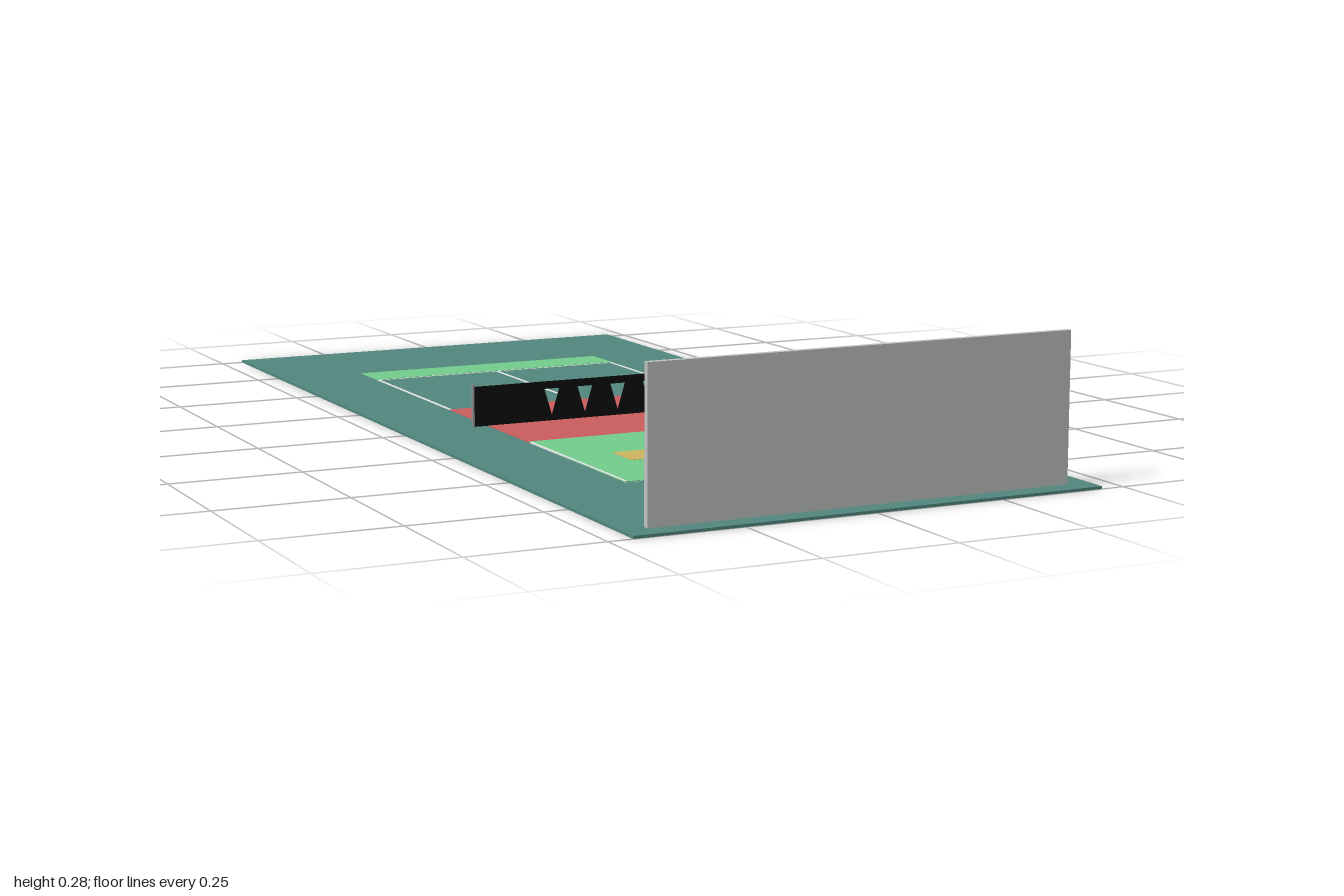
import * as THREE from 'three';

const mat = (name, color) => {
  const m = new THREE.MeshStandardMaterial({ color });
  m.name = name;
  return m;
};

export function createModel() {
  const court = mat('court teal', 0x52877f);
  const red = mat('red zone', 0xcb5d5d);
  const green = mat('green zone', 0x73cd8d);
  const yellow = mat('target yellow', 0xcbb660);
  const white = mat('line white', 0xe6e8e6);
  const grey = mat('wall grey', 0xbfc3c1);
  const dark = mat('board dark', 0x435a56);
  const steel = mat('post steel', 0x8c9498);
  const black = mat('net black', 0x0c0c0c);
  black.side = THREE.DoubleSide;

  const model = new THREE.Group();
  model.name = 'practiceCourt';

  const box = (parent, name, m, w, h, d, x, y, z) => {
    const mesh = new THREE.Mesh(new THREE.BoxGeometry(w, h, d), m);
    mesh.name = name;
    mesh.position.set(x, y, z);
    parent.add(mesh);
    return mesh;
  };

  // Ground slab
  const top = 0.005;
  box(model, 'ground', court, 0.91, top, 2, 0, top / 2, 0);

  // Flat paint, given by its extents and its layer above the ground
  const paint = (name, m, x0, x1, z0, z1, layer) => {
    const h = 0.0006 * layer;
    box(model, name, m, x1 - x0, h, z1 - z0, (x0 + x1) / 2, top + h / 2, (z0 + z1) / 2);
  };
  paint('kitchenZone', red, -0.28, 0.28, -0.2, 0.2, 2);
  paint('serviceZone', green, -0.28, 0, 0.19, 0.61, 3);
  paint('backZone', green, -0.28, 0.28, -0.705, -0.61, 2);
  paint('floorTarget', yellow, -0.185, -0.1, 0.36, 0.44, 4);

  // Court lines
  const lw = 0.007;
  for (const s of [-1, 1]) {
    const x = s * 0.2765;
    paint('sideLineNear', white, x - lw / 2, x + lw / 2, 0.2, 0.61, 1);
    paint('sideLineFar', white, x - lw / 2, x + lw / 2, -0.61, -0.2, 1);
    paint('baseLine', white, -0.28, 0.28, s * 0.608 - 0.003, s * 0.608 + 0.003, 1);
    paint('centreLine', white, -lw / 2, lw / 2, Math.min(s * 0.2, s * 0.61), Math.max(s * 0.2, s * 0.61), 1);
  }
  paint('serviceEdge', white, -0.28, -0.275, 0.2, 0.61, 4);

  // Net with tapered openings in its middle
  const net = new THREE.Group();
  net.name = 'net';
  const sheet = new THREE.Shape();
  sheet.moveTo(-0.31, 0.006).lineTo(0.31, 0.006).lineTo(0.31, 0.085).lineTo(-0.31, 0.085).closePath();
  for (let i = -2; i <= 2; i++) {
    const x = i * 0.072;
    const hole = new THREE.Path();
    hole.moveTo(x - 0.016, 0.07).lineTo(x + 0.016, 0.07).lineTo(x, 0.018).closePath();
    sheet.holes.push(hole);
  }
  const netMesh = new THREE.Mesh(new THREE.ShapeGeometry(sheet), black);
  netMesh.name = 'netSheet';
  net.add(netMesh);
  for (const s of [-1, 1]) {
    const post = new THREE.Mesh(new THREE.CylinderGeometry(0.003, 0.003, 0.085, 10), steel);
    post.name = 'netPost';
    post.position.set(s * 0.312, 0.0475, 0);
    net.add(post);
  }
  model.add(net);

  // Rebound wall with targets and sign on its court side
  const wall = new THREE.Group();
  wall.name = 'reboundWall';
  box(wall, 'wallPanel', grey, 0.82, 0.273, 0.012, 0, 0.1415, 0.954);
  for (const x of [-0.18, 0, 0.18]) {
    box(wall, 'wallTarget', yellow, 0.05, 0.055, 0.003, x, 0.138, 0.9468);
  }
  box(wall, 'wallSign', dark, 0.13, 0.042, 0.006, 0, 0.236, 0.946);
  model.add(wall);

  // Scoreboard on a post, turned towards the court
  const score = new THREE.Group();
  score.name = 'scoreboard';
  score.position.set(0.36, 0, 0.728);
  score.rotation.y = Math.atan2(-0.93, -0.37);
  const pole = new THREE.Mesh(new THREE.CylinderGeometry(0.0025, 0.0025, 0.09, 10), steel);
  pole.name = 'scorePost';
  pole.position.y = 0.05;
  score.add(pole);
  box(score, 'scorePanel', dark, 0.081, 0.055, 0.006, 0, 0.12, 0);
  box(score, 'scoreDisplay', red, 0.045, 0.022, 0.002, 0, 0.12, 0.0035);
  model.add(score);

  return model;
}
